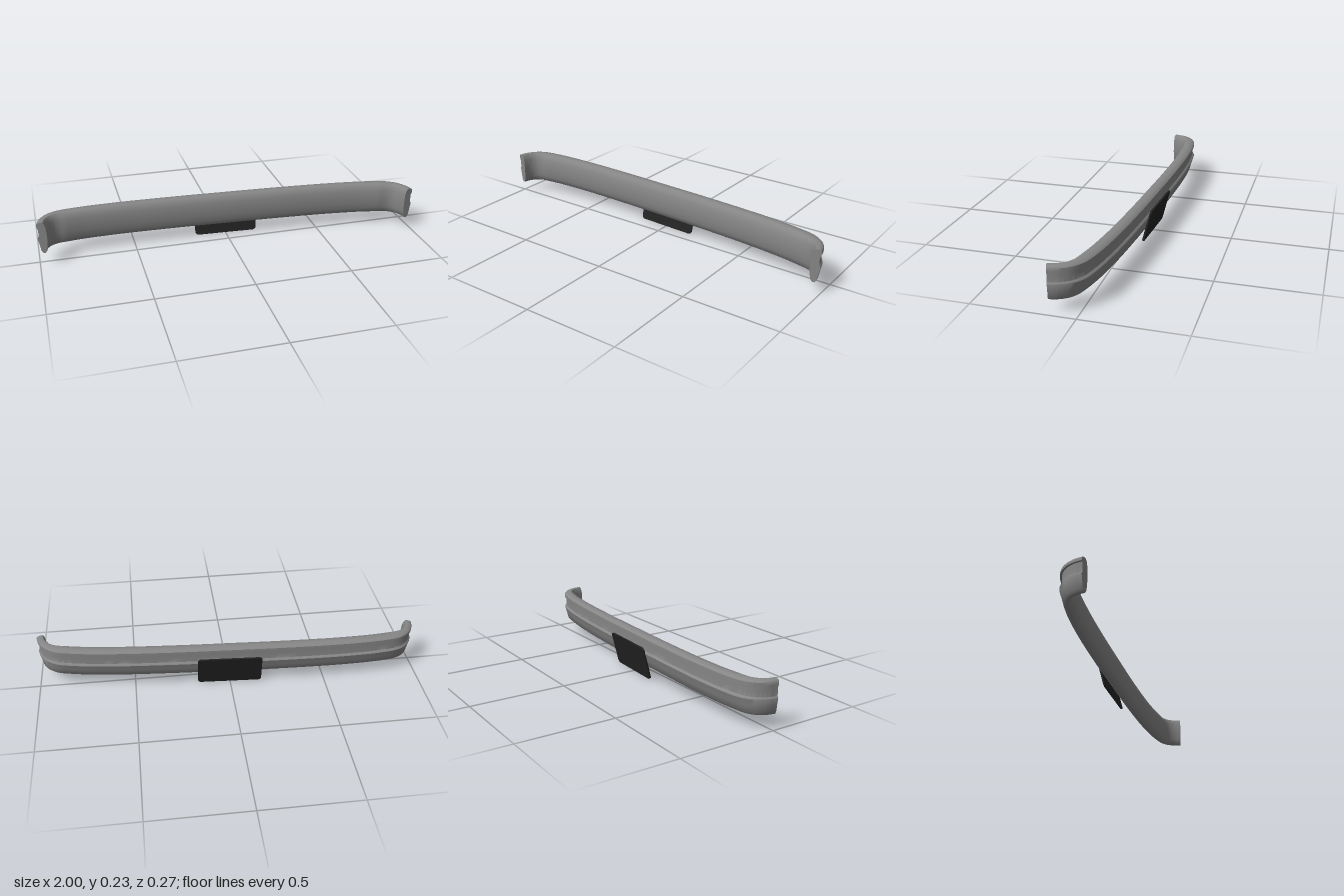
import * as THREE from 'three';
import { toCreasedNormals } from 'three/addons/utils/BufferGeometryUtils.js';

// Outer edge of one half, seen from above (x, z); mirrored for the other half
const HALF = [[0.3, -0.107], [0.6, -0.098], [0.8, -0.08], [0.9, -0.058], [0.955, -0.02], [0.987, 0.03], [0.999, 0.075]];
const SKEW = 0.053; // the bumper sits slightly turned

// Cross-section: (distance inward from the outer edge, height)
const PROFILE = [
  [0.033, 0.066], [0.02, 0.077], [0.011, 0.11], [0.0, 0.145], [0.003, 0.15], [0.01, 0.155],
  [0.011, 0.18], [0.01, 0.207], [0.0, 0.21], [0.0, 0.224], [0.008, 0.231], [0.028, 0.235],
  [0.05, 0.234], [0.062, 0.224], [0.071, 0.2], [0.075, 0.165], [0.075, 0.13], [0.07, 0.098], [0.063, 0.076], [0.05, 0.065],
];

function sweepBumper(steps) {
  const pts = [
    ...HALF.slice().reverse().map(([x, z]) => [-x, z]), [0, -0.108], ...HALF,
  ].map(([x, z]) => new THREE.Vector3(x, 0, z + SKEW * x));
  const curve = new THREE.CatmullRomCurve3(pts, false, 'centripetal');
  const n = PROFILE.length, pos = [], idx = [];
  const ring = (t, inset) => {
    const p = curve.getPoint(t), d = curve.getTangent(t);
    const width = 1 - 0.35 * THREE.MathUtils.smoothstep(Math.abs(p.x), 0.85, 1);
    inset.forEach(([a, y]) => pos.push(p.x - d.z * a * width, y, p.z + d.x * a * width));
  };
  for (let i = 0; i <= steps; i++) ring(i / steps, PROFILE);
  for (let i = 0; i < steps; i++) {
    for (let j = 0; j < n; j++) {
      const k = (j + 1) % n, a = i * n + j, c = i * n + k;
      idx.push(a, c, a + n, c, c + n, a + n);
    }
  }
  // End caps, fanned from a centre point
  const centre = (steps + 1) * n;
  ring(0, [[0.04, 0.15]]);
  ring(1, [[0.04, 0.15]]);
  for (let j = 0; j < n; j++) {
    const k = (j + 1) % n, e = steps * n;
    idx.push(k, j, centre, e + j, e + k, centre + 1);
  }
  const g = new THREE.BufferGeometry();
  g.setAttribute('position', new THREE.Float32BufferAttribute(pos, 3));
  g.setIndex(idx);
  return toCreasedNormals(g, 0.65);
}

function roundedPlate(w, h, r, depth) {
  const s = new THREE.Shape();
  const x = w / 2 - r, y = h / 2 - r;
  s.absarc(x, y, r, 0, Math.PI / 2);
  s.absarc(-x, y, r, Math.PI / 2, Math.PI);
  s.absarc(-x, -y, r, Math.PI, Math.PI * 1.5);
  s.absarc(x, -y, r, Math.PI * 1.5, Math.PI * 2);
  const g = new THREE.ExtrudeGeometry(s, { depth, bevelEnabled: false, curveSegments: 6 });
  return g.translate(0, 0, -depth / 2);
}

export function createModel() {
  const group = new THREE.Group();
  group.name = 'bumper';

  const grey = new THREE.MeshStandardMaterial({ color: 0x868686 });
  grey.name = 'bumper grey';
  const black = new THREE.MeshStandardMaterial({ color: 0x232323 });
  black.name = 'plate black';

  // Wrap-around bar with a groove along its outer side
  const bar = new THREE.Mesh(sweepBumper(84), grey);
  bar.name = 'bumperBar';
  group.add(bar);

  // Blank plate, leaning on the lower slope of the bar
  const plate = new THREE.Mesh(roundedPlate(0.336, 0.18, 0.018, 0.009), black);
  plate.name = 'plate';
  plate.rotation.order = 'YXZ';
  plate.rotation.set(-0.25, -0.055, 0);
  plate.position.set(0.003, 0.0885, -0.096);
  group.add(plate);

  return group;
}
